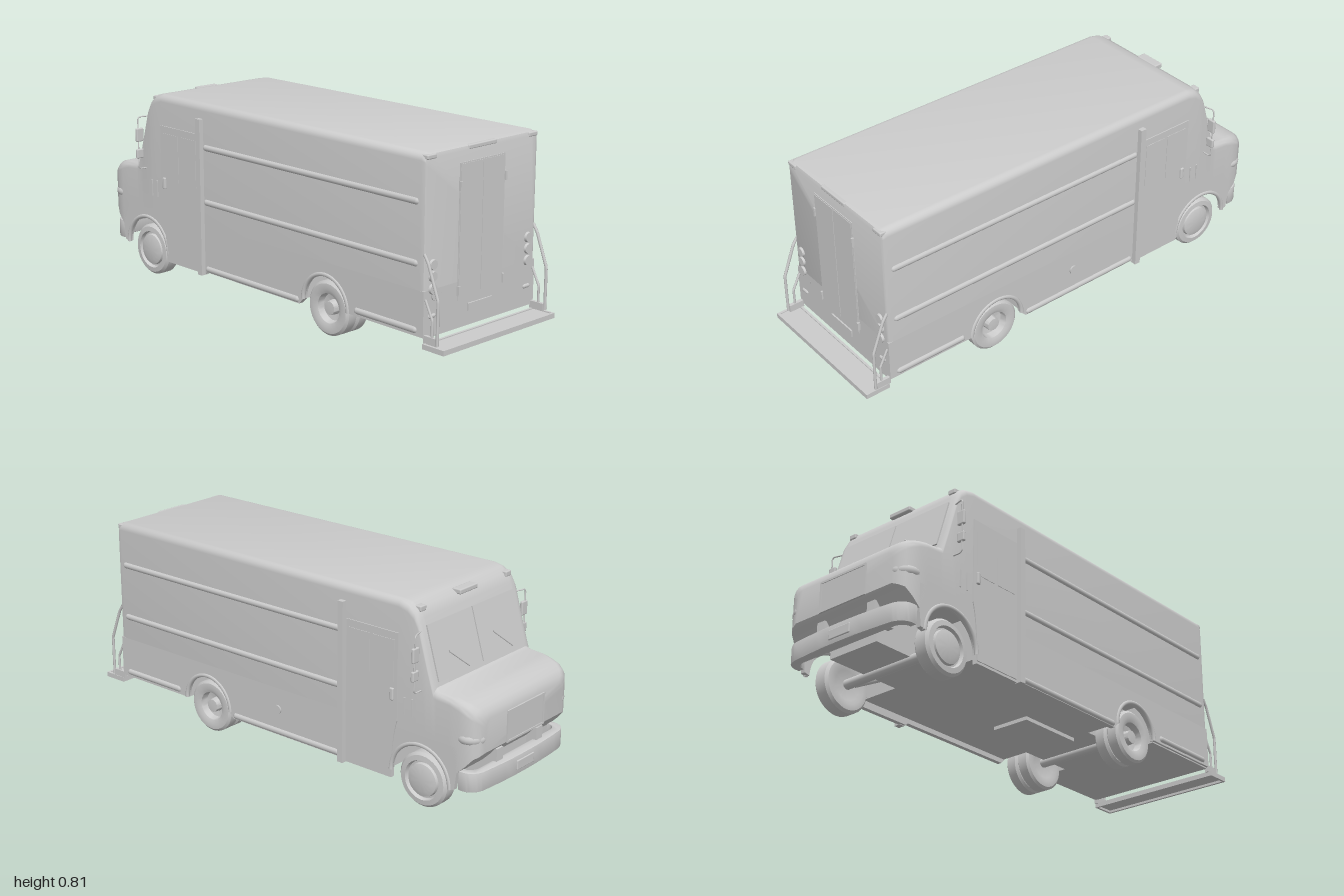
import * as THREE from 'three';
import { toCreasedNormals } from 'three/addons/utils/BufferGeometryUtils.js';
import { RoundedBoxGeometry } from 'three/addons/geometries/RoundedBoxGeometry.js';

const grey = new THREE.MeshStandardMaterial({ color: 0xcccccc, side: THREE.DoubleSide });
const V = (x, y, z) => new THREE.Vector3(x, y, z);

export function createModel() {
  const van = new THREE.Group();
  const add = (name, geo, x = 0, y = 0, z = 0) => {
    const m = new THREE.Mesh(geo, grey);
    m.name = name;
    m.position.set(x, y, z);
    van.add(m);
    return m;
  };
  const box = (name, w, h, d, x, y, z) => add(name, new THREE.BoxGeometry(w, h, d), x, y, z);
  const soft = (name, w, h, d, x, y, z, r = 0.005) => add(name, new RoundedBoxGeometry(w, h, d, 2, r), x, y, z);
  const tube = (name, pts, r) => {
    const path = new THREE.CurvePath();
    for (let i = 1; i < pts.length; i++) path.add(new THREE.LineCurve3(pts[i - 1], pts[i]));
    return add(name, new THREE.TubeGeometry(path, pts.length * 8, r, 8));
  };
  const sides = (fn) => [1, -1].forEach(fn);

  // Main shell: rounded cross-sections [z, top, half width, corner radius, bottom]
  const stations = [
    [0.89, 0.79, 0.298, 0.03, 0.3], [0.885, 0.803, 0.306, 0.03, 0.3], [0.868, 0.81, 0.31, 0.03, 0.3],
    [-0.62, 0.81, 0.31, 0.03, 0.3], [-0.66, 0.803, 0.31, 0.035, 0.3], [-0.69, 0.785, 0.31, 0.04, 0.3],
    [-0.71, 0.75, 0.31, 0.04, 0.3], [-0.755, 0.6, 0.31, 0.04, 0.3], [-0.785, 0.5, 0.31, 0.035, 0.3],
    [-0.8, 0.492, 0.31, 0.03, 0.3], [-0.86, 0.487, 0.31, 0.03, 0.3], [-0.9, 0.48, 0.31, 0.035, 0.2],
    [-0.935, 0.47, 0.307, 0.04, 0.235], [-0.96, 0.455, 0.295, 0.04, 0.265], [-0.975, 0.437, 0.275, 0.035, 0.275],
    [-0.983, 0.415, 0.25, 0.03, 0.285],
  ];
  add('bodyShell', loft(stations));

  // Lower side skirts with wheel arches (drawn in -z, y)
  const skirt = new THREE.Shape();
  skirt.moveTo(-0.89, 0.3);
  skirt.lineTo(-0.89, 0.125);
  skirt.lineTo(-0.495, 0.125);
  skirt.absarc(-0.375, 0.125, 0.12, Math.PI, 0, true);
  skirt.lineTo(-0.23, 0.1);
  skirt.lineTo(0.335, 0.1);
  skirt.lineTo(0.345, 0.09);
  skirt.lineTo(0.595, 0.09);
  skirt.lineTo(0.595, 0.125);
  skirt.absarc(0.73, 0.125, 0.135, Math.PI, 0, true);
  skirt.lineTo(0.89, 0.13);
  skirt.lineTo(0.9, 0.2);
  skirt.lineTo(0.9, 0.3);
  const skirtGeo = new THREE.ExtrudeGeometry(skirt, { depth: 0.02, bevelEnabled: false, curveSegments: 20 });
  skirtGeo.rotateY(Math.PI / 2);

  // Door outline, with the front edge curving back toward the wheel
  const door = new THREE.Shape();
  door.moveTo(0.375, 0.1);
  door.lineTo(0.595, 0.1);
  door.quadraticCurveTo(0.6, 0.27, 0.622, 0.33);
  door.lineTo(0.622, 0.68);
  door.lineTo(0.375, 0.68);
  const doorGeo = new THREE.ExtrudeGeometry(door, { depth: 0.006, bevelEnabled: false });
  doorGeo.rotateY(Math.PI / 2);

  // Floor blocks, leaving wheel wells
  box('floorCentre', 0.33, 0.18, 1.47, 0, 0.21, 0.155);
  box('rearPanel', 0.6, 0.18, 0.02, 0, 0.21, 0.88);
  box('engineBay', 0.24, 0.18, 0.36, 0, 0.21, -0.74);
  box('driveGuard', 0.17, 0.02, 0.3, 0, 0.115, 0.1);
  sides((s) => {
    box('floorRear', 0.14, 0.18, 0.38, s * 0.23, 0.21, 0.69);
    box('floorMiddle', 0.14, 0.18, 0.825, s * 0.23, 0.21, -0.1675);
  });

  // Wheels
  const frontTyre = [[0, -0.03], [0.06, -0.03], [0.078, -0.037], [0.1, -0.035], [0.11, -0.024], [0.11, 0.024],
    [0.1, 0.035], [0.08, 0.037], [0.075, 0.022], [0.068, 0.022], [0.065, 0.034], [0.045, 0.04], [0, 0.04]];
  const rearTyre = [[0, -0.02], [0.06, -0.025], [0.078, -0.031], [0.1, -0.029], [0.11, -0.02], [0.11, 0.02],
    [0.1, 0.029], [0.078, 0.031], [0.06, 0.024], [0.055, -0.005], [0.03, -0.01], [0.027, 0.02], [0, 0.022]];
  const wheelGeo = (pts) => {
    const g = new THREE.LatheGeometry(pts.map((p) => new THREE.Vector2(...p)), 36);
    return toCreasedNormals(g.rotateZ(-Math.PI / 2), 0.6);
  };
  const frontWheel = wheelGeo(frontTyre), rearWheel = wheelGeo(rearTyre);
  const capsule = (name, r, z0, z1, x, y) => {
    const g = new THREE.CapsuleGeometry(r, z1 - z0 - 2 * r, 4, 10).rotateX(Math.PI / 2);
    add(name, g, x, y, (z0 + z1) / 2);
  };
  for (const z of [0.375, -0.73]) add('axle', new THREE.CylinderGeometry(0.02, 0.02, 0.46, 12).rotateZ(Math.PI / 2), 0, 0.115, z);

  sides((s) => {
    add('sideSkirt', skirtGeo, s > 0 ? 0.29 : -0.31);
    add('frontWheel', frontWheel, s * 0.258, 0.113, -0.73).rotation.y = s > 0 ? 0 : Math.PI;
    for (const x of [0.266, 0.205]) add('rearWheel', rearWheel, s * x, 0.11, 0.375).rotation.y = s > 0 ? 0 : Math.PI;
    // Arch lips
    for (const [z, r] of [[0.375, 0.125], [-0.73, 0.138]]) {
      add('archLip', new THREE.TorusGeometry(r, 0.009, 8, 28, Math.PI).rotateY(Math.PI / 2), s * 0.307, 0.125, z);
    }
    tube('suspensionArm', [V(s * 0.1, 0.16, -0.6), V(s * 0.21, 0.115, -0.71)], 0.012);

    // Side rub rails
    for (const y of [0.63, 0.4]) capsule('sideRail', 0.014, -0.345, 0.86, s * 0.305, y);
    capsule('lowerRail', 0.014, 0.535, 0.86, s * 0.305, 0.147);
    capsule('lowerRail', 0.014, -0.34, 0.23, s * 0.305, 0.115);

    // Door, its track post and windows
    box('doorPost', 0.03, 0.66, 0.026, s * 0.315, 0.418, -0.357);
    add('sideDoor', doorGeo, s > 0 ? 0.308 : -0.314);
    for (const [z, d] of [[-0.44, 0.1], [-0.555, 0.1]]) {
      box('doorWindow', 0.004, 0.2, d, s * 0.314, 0.55, z);
    }
    soft('doorHandle', 0.016, 0.05, 0.018, s * 0.315, 0.435, -0.598);
    for (const z of [-0.655, -0.69]) box('sideVent', 0.006, 0.07, 0.006, s * 0.311, 0.4, z);

    // Mirrors on a bent frame
    tube('mirrorFrame', [V(s * 0.3, 0.705, -0.715), V(s * 0.343, 0.705, -0.727), V(s * 0.35, 0.697, -0.728),
      V(s * 0.35, 0.488, -0.728), V(s * 0.343, 0.48, -0.728), V(s * 0.3, 0.48, -0.728)], 0.003);
    soft('upperMirror', 0.036, 0.058, 0.014, s * 0.345, 0.628, -0.726);
    soft('lowerMirror', 0.036, 0.04, 0.014, s * 0.345, 0.547, -0.726);

    // Windscreen pane and wiper
    const pane = box('windscreen', 0.272, 0.215, 0.012, s * 0.139, 0.62, -0.749);
    pane.rotation.x = 0.291;
    tube('wiper', [V(s * 0.14 - 0.05, 0.53, -0.787), V(s * 0.14 + 0.05, 0.61, -0.763)], 0.003);

    // Headlamps
    add('headlampHousing', new THREE.SphereGeometry(1, 24, 16), s * 0.252, 0.338, -0.922).scale.set(0.062, 0.036, 0.058);
    add('headlampLens', new THREE.SphereGeometry(0.026, 20, 14), s * 0.255, 0.338, -0.957);

    // Rear lamps, grab rails and roof markers
    for (const y of [0.395, 0.35, 0.303]) {
      add('tailLamp', new THREE.CylinderGeometry(0.018, 0.021, 0.012, 24).rotateX(Math.PI / 2), s * 0.265, y, 0.893);
    }
    add('reverseLamp', new THREE.CapsuleGeometry(0.009, 0.022, 4, 10).rotateZ(Math.PI / 2), s * 0.265, 0.2, 0.888);
    tube('grabRail', [V(s * 0.304, 0.11, 0.955), V(s * 0.304, 0.28, 0.955), V(s * 0.304, 0.41, 0.905), V(s * 0.304, 0.44, 0.885)], 0.006);
    tube('lowerGrabRail', [V(s * 0.3, 0.11, 0.925), V(s * 0.3, 0.2, 0.925), V(s * 0.3, 0.27, 0.89)], 0.005);
    box('stepBracket', 0.014, 0.03, 0.065, s * 0.3, 0.12, 0.92);
    soft('rearCornerMarker', 0.05, 0.018, 0.03, s * 0.278, 0.794, 0.878);
    soft('frontCornerMarker', 0.035, 0.022, 0.04, s * 0.268, 0.782, -0.682);
    // Rear door hinges
    for (const y of [0.663, 0.265]) box('doorHinge', 0.008, 0.036, 0.012, s * 0.124 - 0.005, y, 0.895);
  });
  soft('rearMarker', 0.155, 0.018, 0.03, -0.005, 0.798, 0.876);
  soft('frontMarker', 0.11, 0.02, 0.04, 0, 0.79, -0.69);

  // Fuel cap on one side only
  add('fuelCap', new THREE.CylinderGeometry(0.018, 0.02, 0.012, 20).rotateZ(Math.PI / 2), 0.312, 0.21, -0.017);

  // Rear doors and plate
  box('rearDoorFrame', 0.248, 0.52, 0.006, -0.006, 0.488, 0.89);
  for (const x of [-0.067, 0.055]) box('rearDoor', 0.118, 0.51, 0.006, x, 0.488, 0.892);
  box('rearPlate', 0.135, 0.03, 0.008, -0.005, 0.191, 0.892);
  add('footHold', new THREE.CylinderGeometry(0.027, 0.027, 0.006, 20, 1, false, -Math.PI / 2, Math.PI).rotateX(Math.PI / 2), -0.243, 0.28, 0.891);

  // Rear step: a rimmed plate
  box('stepPlate', 0.62, 0.006, 0.1, -0.005, 0.1, 0.947);
  for (const z of [0.9, 0.995]) box('stepRim', 0.628, 0.02, 0.01, -0.005, 0.097, z);
  sides((s) => box('stepEnd', 0.01, 0.02, 0.1, s * 0.309 - 0.005, 0.097, 0.947));

  // Grille frame and panel
  box('grillePanel', 0.22, 0.115, 0.01, 0, 0.347, -0.981);
  for (const y of [0.287, 0.407]) box('grilleFrame', 0.24, 0.008, 0.012, 0, y, -0.983);
  sides((s) => box('grilleFrame', 0.008, 0.125, 0.012, s * 0.116, 0.347, -0.983));

  // Wrap-around front bumper (plan in x, -z)
  const plan = new THREE.Shape();
  plan.moveTo(-0.3, 0.91);
  plan.quadraticCurveTo(-0.305, 0.962, -0.25, 0.975);
  plan.quadraticCurveTo(0, 1.0, 0.25, 0.975);
  plan.quadraticCurveTo(0.305, 0.962, 0.3, 0.91);
  plan.lineTo(0.28, 0.91);
  plan.quadraticCurveTo(0.28, 0.94, 0.24, 0.95);
  plan.lineTo(-0.24, 0.95);
  plan.quadraticCurveTo(-0.28, 0.94, -0.28, 0.91);
  const bumper = new THREE.ExtrudeGeometry(plan, { depth: 0.065, bevelSize: 0.005, bevelThickness: 0.007, bevelSegments: 2 });
  add('frontBumper', toCreasedNormals(bumper.rotateX(-Math.PI / 2), 0.6), 0, 0.138, 0);
  soft('frontPlate', 0.11, 0.04, 0.01, 0, 0.17, -0.991, 0.004);
  sides((s) => box('bumperBracket', 0.04, 0.08, 0.1, s * 0.13, 0.22, -0.915));
  return van;
}

// Skin through arch-topped rings, capped at both ends
function loft(stations) {
  const pos = [], idx = [], steps = 6, n = 2 * (steps + 1) + 2;
  for (const [z, top, w, r, bottom] of stations) {
    pos.push(w, bottom, z);
    for (const side of [0, 1]) {
      for (let k = 0; k <= steps; k++) {
        const a = (side + k / steps) * Math.PI / 2;
        pos.push((side ? r - w : w - r) + r * Math.cos(a), top - r + r * Math.sin(a), z);
      }
    }
    pos.push(-w, bottom, z);
  }
  const last = (stations.length - 1) * n;
  for (let i = 0; i < last; i += n) {
    for (let j = 0; j < n; j++) {
      const a = i + j, b = i + (j + 1) % n;
      idx.push(a, a + n, b, b, a + n, b + n);
    }
  }
  for (let j = 1; j < n - 1; j++) idx.push(0, j, j + 1, last, last + j + 1, last + j);
  const g = new THREE.BufferGeometry();
  g.setAttribute('position', new THREE.Float32BufferAttribute(pos, 3));
  g.setIndex(idx);
  return toCreasedNormals(g, 0.6);
}
